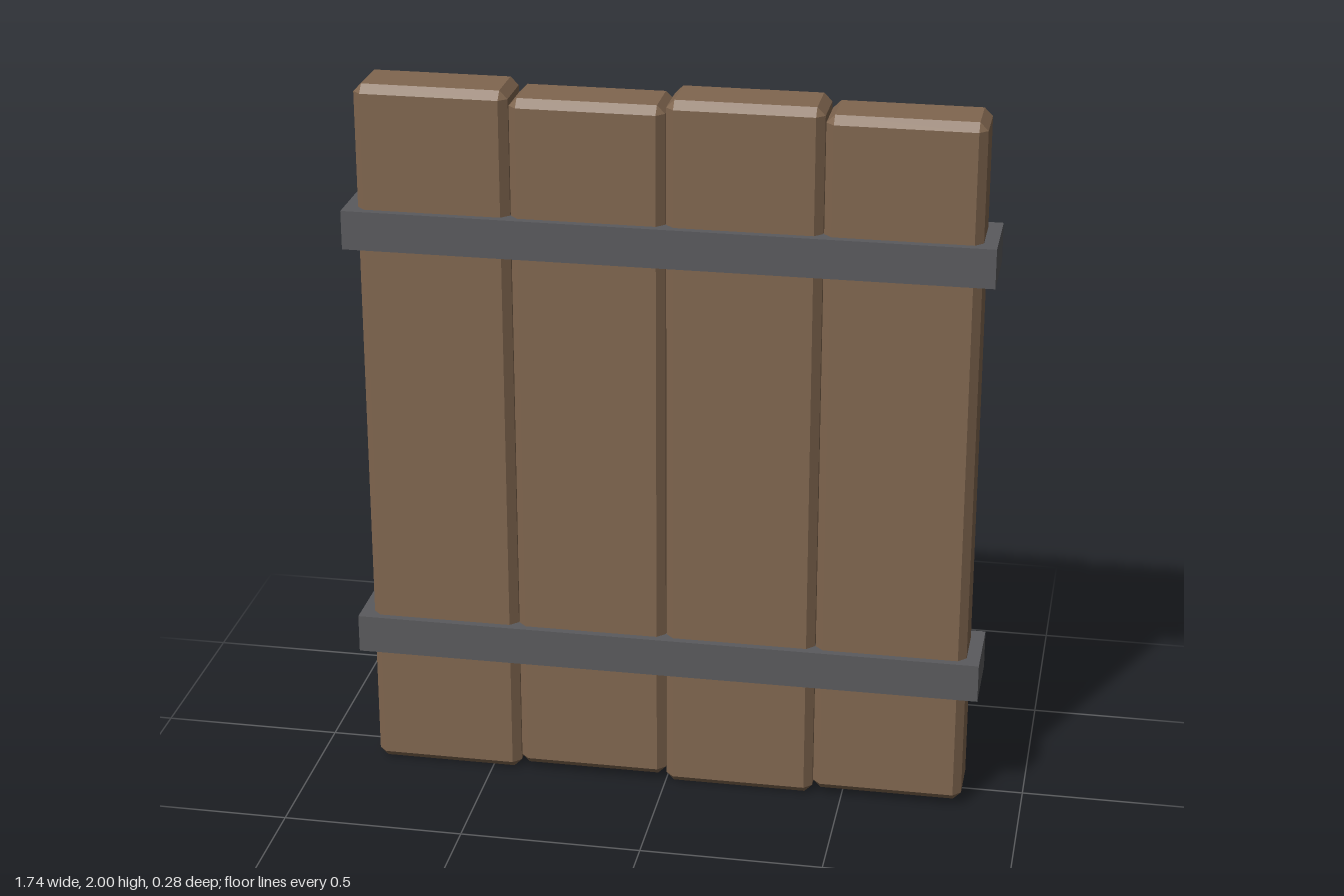
import * as THREE from 'three';
import { ConvexGeometry } from 'three/addons/geometries/ConvexGeometry.js';

const material = (name, color) => {
  const m = new THREE.MeshStandardMaterial({ color });
  m.name = name;
  return m;
};

// Box with one flat chamfer on every edge and a small triangle at each corner
function chamferedBox(w, h, d, c) {
  const points = [];
  for (const sx of [-1, 1]) for (const sy of [-1, 1]) for (const sz of [-1, 1]) {
    const x = w / 2, y = h / 2, z = d / 2;
    points.push(
      new THREE.Vector3(sx * x, sy * (y - c), sz * (z - c)),
      new THREE.Vector3(sx * (x - c), sy * y, sz * (z - c)),
      new THREE.Vector3(sx * (x - c), sy * (y - c), sz * z));
  }
  return new ConvexGeometry(points);
}

export function createModel() {
  const door = new THREE.Group();
  door.name = 'plankDoor';
  const wood = material('brown wood', 0x80664f);
  const iron = material('dark iron', 0x5a5a5d);
  const brass = material('dull brass', 0xb09c60);

  const add = (name, geometry, mat, x, y, z) => {
    const mesh = new THREE.Mesh(geometry, mat);
    mesh.name = name;
    mesh.position.set(x, y, z);
    door.add(mesh);
    return mesh;
  };

  // Four upright planks, every second one slightly shorter
  for (let i = 0; i < 4; i++) {
    const height = i % 2 ? 1.965 : 2;
    add('plank' + (i + 1), chamferedBox(0.416, height, 0.176, 0.022), wood,
      (i - 1.5) * 0.418, 1, 0.031);
  }

  // Iron bands wrapping the planks
  add('lowerBand', new THREE.BoxGeometry(1.744, 0.108, 0.216), iron, 0, 0.404, 0.032);
  add('upperBand', new THREE.BoxGeometry(1.744, 0.108, 0.216), iron, 0, 1.604, 0.032);

  // Faceted knob, set off from the back
  const knob = new THREE.CylinderGeometry(0.088, 0.088, 0.053, 10).toNonIndexed();
  knob.rotateX(Math.PI / 2);
  knob.computeVertexNormals();
  add('knob', knob, brass, 0.543, 1.003, -0.1135);

  return door;
}
